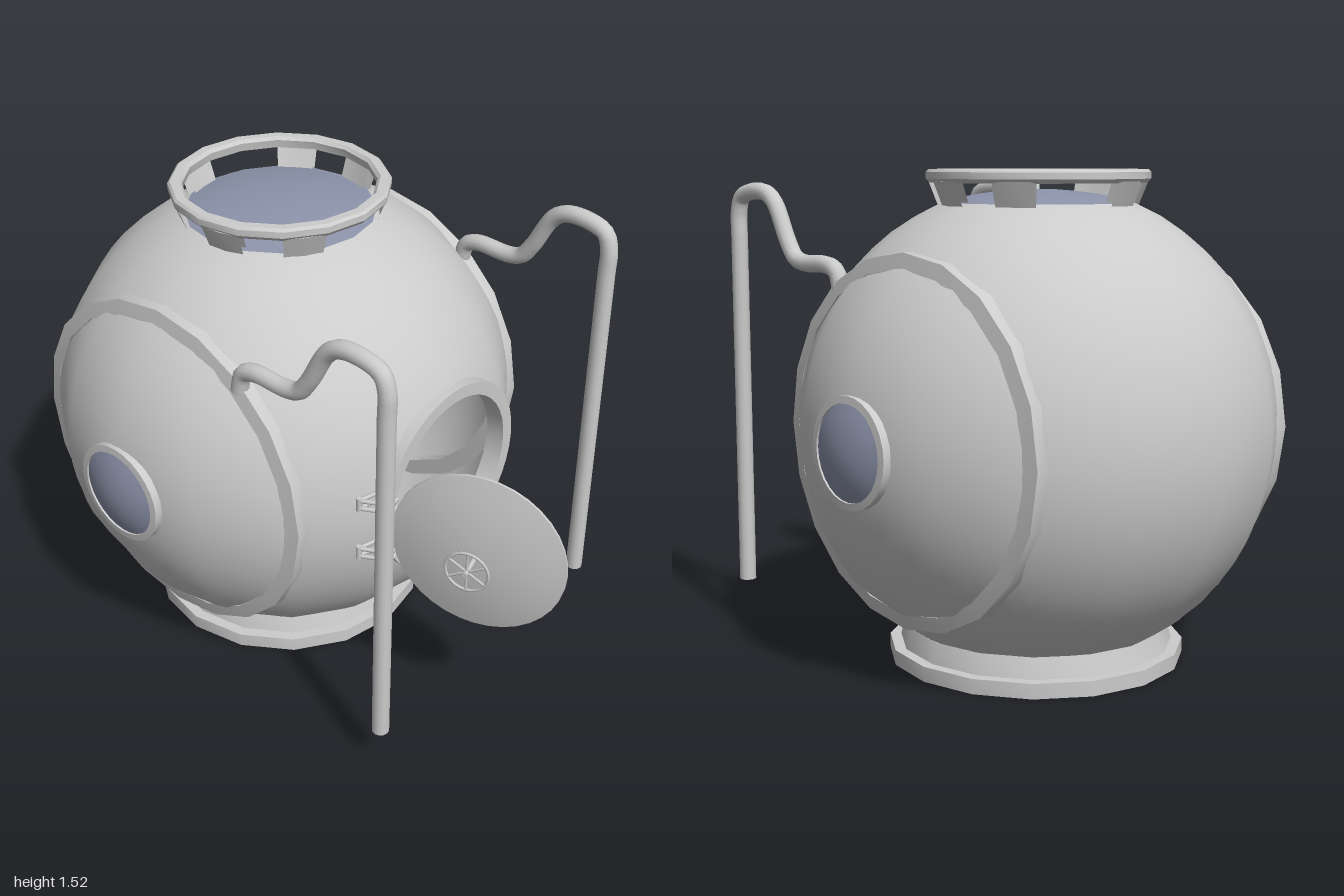
import * as THREE from 'three';
import { toCreasedNormals } from 'three/addons/utils/BufferGeometryUtils.js';

const grey = new THREE.MeshStandardMaterial({ color: 0xcccccc, side: THREE.DoubleSide });
const glass = new THREE.MeshStandardMaterial({ color: 0x8c93aa, side: THREE.DoubleSide });
const R = 0.75, C = new THREE.Vector3(0, 0.735, -0.25);
const FLOOR = 0.11, CEILING = 1.425;

function add(parent, name, geometry, x = 0, y = 0, z = 0, material = grey) {
  const mesh = new THREE.Mesh(geometry, material);
  mesh.name = name;
  mesh.position.set(x, y, z);
  parent.add(mesh);
  return mesh;
}

// Turned part with crisp profile corners; profile is [radius, height] pairs
function turned(profile, segments = 16, start = 0, length = Math.PI * 2) {
  const points = profile.map(([r, h]) => new THREE.Vector2(r, h));
  return toCreasedNormals(new THREE.LatheGeometry(points, segments, start, length), 0.6);
}

// Shallow glass or metal dome as [radius, height] pairs, from rim to crown
function domeProfile(radius, height, steps = 5) {
  return Array.from({ length: steps + 1 }, (_, i) => {
    const t = 1 - i / steps;
    return [radius * t, height * (1 - t * t)];
  });
}

function rod(points, radius, segments = 40) {
  const path = new THREE.CurvePath();
  for (let i = 1; i < points.length; i++) path.add(new THREE.LineCurve3(points[i - 1], points[i]));
  return new THREE.TubeGeometry(path, segments, radius, 8);
}

// Spherical shell with a round front hole, trimmed level at floor and ceiling,
// and sixteen-sided in plan
function shellGeometry() {
  const hole = Math.asin(0.28 / R), rows = 48, profile = [];
  for (let i = 0; i <= rows; i++) {
    const a = Math.PI + (hole - Math.PI) * i / rows;
    profile.push(new THREE.Vector2(R * Math.sin(a), R * Math.cos(a)));
  }
  const geo = new THREE.LatheGeometry(profile, 64).rotateX(Math.PI / 2);
  const pos = geo.attributes.position, nor = geo.attributes.normal;
  const v = new THREE.Vector3(), trimmed = [], step = Math.PI / 8;
  for (let i = 0; i < pos.count; i++) {
    v.fromBufferAttribute(pos, i);
    const y = THREE.MathUtils.clamp(v.y, FLOOR - C.y, CEILING - C.y);
    trimmed.push(y === v.y ? 0 : Math.sign(y));
    const angle = Math.atan2(v.x, v.z), r = Math.sqrt(Math.max(0, R * R - y * y));
    v.set(r * Math.sin(angle), y, r * Math.cos(angle));
    nor.setXYZ(i, v.x / R, v.y / R, v.z / R);
    const local = ((angle % step) + step) % step - step / 2;
    const k = Math.cos(step / 2) / Math.cos(local);
    pos.setXYZ(i, v.x * k, v.y, v.z * k);
  }
  const kept = [], index = geo.index.array;
  for (let i = 0; i < index.length; i += 3) {
    const tri = [index[i], index[i + 1], index[i + 2]];
    if (tri.some(n => trimmed[n] === 0)) kept.push(...tri);
  }
  geo.setIndex(kept);
  return geo;
}

export function createModel() {
  const model = new THREE.Group();
  model.name = 'divingBell';

  add(model, 'shell', shellGeometry(), C.x, C.y, C.z);
  add(model, 'floor', new THREE.CircleGeometry(0.415, 16).rotateX(-Math.PI / 2), 0, FLOOR, C.z);

  // Base collar and flange
  add(model, 'baseCollar', turned([[0.39, 0.11], [0.435, 0], [0.467, 0], [0.467, 0.047],
    [0.432, 0.047], [0.415, 0.11], [0.39, 0.11]]), 0, 0, C.z);

  // Front hatch rim
  add(model, 'hatchRim', turned([[0.272, 0.39], [0.315, 0.39], [0.315, 0.455], [0.272, 0.455],
    [0.272, 0.39]], 40).rotateX(Math.PI / 2), 0, C.y, 0);

  // Top window with its slotted guard
  add(model, 'topWindow', turned(domeProfile(0.3, 0.04), 16), 0, CEILING, C.z, glass);
  const guard = new THREE.Group();
  guard.name = 'topGuard';
  guard.position.z = C.z;
  model.add(guard);
  add(guard, 'guardRing', turned([[0.305, 1.488], [0.335, 1.485], [0.345, 1.497], [0.345, 1.517],
    [0.337, 1.525], [0.31, 1.525], [0.3, 1.515], [0.305, 1.488]]));
  for (const s of [1, 3, 5, 8, 10, 12, 14]) {
    add(guard, 'guardLeg', turned([[0.275, 1.4], [0.302, 1.4], [0.337, 1.49], [0.308, 1.49],
      [0.275, 1.4]], 2, s * Math.PI / 8, Math.PI / 8));
  }

  for (const side of [-1, 1]) {
    const label = side > 0 ? 'left' : 'right';
    const outward = g => g.rotateZ(-side * Math.PI / 2);
    // Side band, porthole rim and porthole glass
    add(model, label + 'SideBand', outward(turned([[0.5, 0.49], [0.557, 0.49], [0.557, 0.535],
      [0.51, 0.545], [0.5, 0.49]], 20)), 0, C.y, C.z);
    add(model, label + 'PortholeRim', outward(turned([[0.14, 0.71], [0.165, 0.71], [0.165, 0.742],
      [0.143, 0.745], [0.14, 0.71]], 28)), 0, C.y, C.z);
    add(model, label + 'PortholeGlass', outward(turned(domeProfile(0.145, 0.032), 28)),
      side * 0.738, C.y, C.z, glass);

    // Bent side pipe, given as [z, y] pairs with doubled points keeping the straights
    const x = side > 0 ? 0.512 : -0.525;
    const bends = [[0.625, 0.15], [0.625, 0.75], [0.625, 1.3], [0.625, 1.38], [0.608, 1.43],
      [0.56, 1.45], [0.47, 1.45], [0.42, 1.42], [0.35, 1.3], [0.31, 1.25], [0.26, 1.236],
      [0.14, 1.235], [0.095, 1.215], [0.075, 1.15]];
    const curve = new THREE.CatmullRomCurve3(bends.map(([z, y]) => new THREE.Vector3(x, y, z)));
    add(model, label + 'Pipe', new THREE.TubeGeometry(curve, 100, 0.027, 12));
    const cap = add(model, label + 'PipeEnd', new THREE.CircleGeometry(0.027, 12), x, 0.15, 0.625);
    cap.rotation.x = Math.PI / 2;
  }

  // Open hatch door; local z is its outer face
  const door = new THREE.Group();
  door.name = 'hatchDoor';
  door.position.set(-0.235, C.y, 0.742);
  door.rotation.y = Math.atan2(-0.955, 0.295);
  model.add(door);
  const outer = domeProfile(0.27, 0.035).map(([r, h]) => [r, h + 0.008]);
  const inner = domeProfile(0.27, 0.028).reverse();
  add(door, 'doorDish', turned([...inner, ...outer], 36).rotateX(Math.PI / 2));

  // Door handwheel
  add(door, 'wheelAxle', new THREE.CylinderGeometry(0.008, 0.008, 0.085, 8).rotateX(Math.PI / 2), 0, 0, 0.075);
  add(door, 'wheelRim', new THREE.TorusGeometry(0.066, 0.005, 6, 24), 0, 0, 0.1);
  for (let i = 0; i < 3; i++) {
    add(door, 'wheelSpoke', new THREE.CylinderGeometry(0.004, 0.004, 0.13, 6), 0, 0, 0.1)
      .rotation.z = i * Math.PI / 3;
  }

  // Paired hinge arms
  for (const y of [0.645, 0.825]) {
    for (const dy of [-0.014, 0.014]) {
      const path = [[-0.305, 0.43], [-0.385, 0.412], [-0.34, 0.495], [-0.305, 0.49]]
        .map(([x, z]) => new THREE.Vector3(x, y + dy, z));
      add(model, 'hingeArm', rod(path, 0.007));
    }
    add(model, 'hingePin', new THREE.CylinderGeometry(0.009, 0.009, 0.045, 8), -0.385, y, 0.412);
  }
  return model;
}
